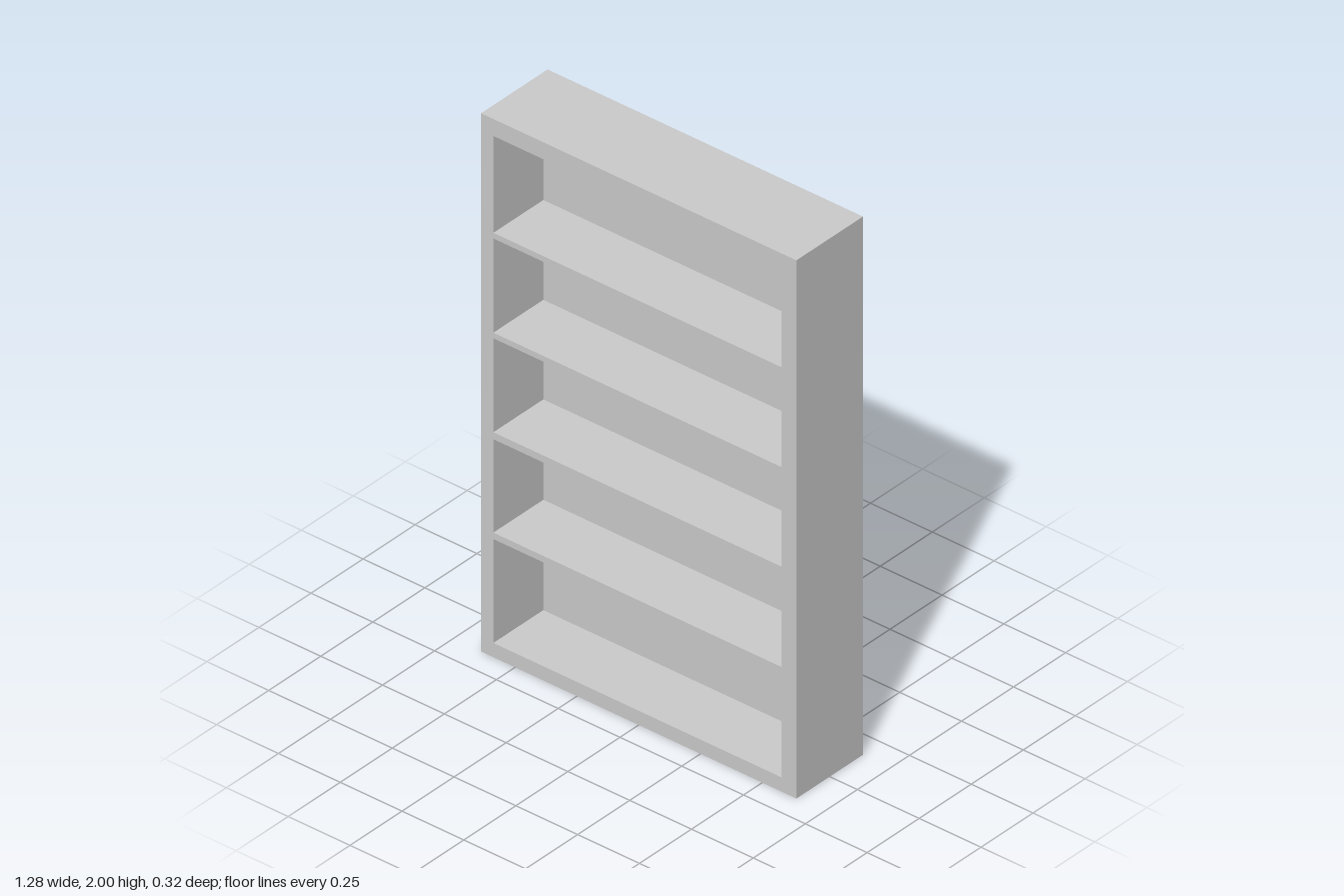
import * as THREE from 'three';

const HALF_WIDTH = 0.638, HEIGHT = 2, FRONT = 0.16, BACK = -0.16;
const RECESS = 0.24; // depth of the compartments
const INNER_LEFT = 0.578, INNER_RIGHT = -0.588;

// bottom and top of each compartment
const COMPARTMENTS = [
  [0.053, 0.439], [0.463, 0.81], [0.836, 1.185], [1.206, 1.556], [1.577, 1.937],
];

function rectangle(PathType, x0, y0, x1, y1) {
  const path = new PathType();
  path.moveTo(x0, y0);
  path.lineTo(x1, y0);
  path.lineTo(x1, y1);
  path.lineTo(x0, y1);
  path.closePath();
  return path;
}

export function createModel() {
  const group = new THREE.Group();
  group.name = 'bookcase';
  const material = new THREE.MeshStandardMaterial({ color: 0xcccccc });

  // one-piece frame with the shelves left between the openings
  const outline = rectangle(THREE.Shape, -HALF_WIDTH, 0, HALF_WIDTH, HEIGHT);
  for (const [bottom, top] of COMPARTMENTS) {
    outline.holes.push(rectangle(THREE.Path, INNER_RIGHT, bottom, INNER_LEFT, top));
  }
  const frameGeometry = new THREE.ExtrudeGeometry(outline, { depth: RECESS, bevelEnabled: false });
  const frame = new THREE.Mesh(frameGeometry, material);
  frame.name = 'frameAndShelves';
  frame.position.z = FRONT - RECESS;
  group.add(frame);

  // solid back closing every compartment
  const thickness = FRONT - RECESS - BACK;
  const back = new THREE.Mesh(new THREE.BoxGeometry(HALF_WIDTH * 2, HEIGHT, thickness), material);
  back.name = 'backPanel';
  back.position.set(0, HEIGHT / 2, BACK + thickness / 2);
  group.add(back);

  return group;
}
